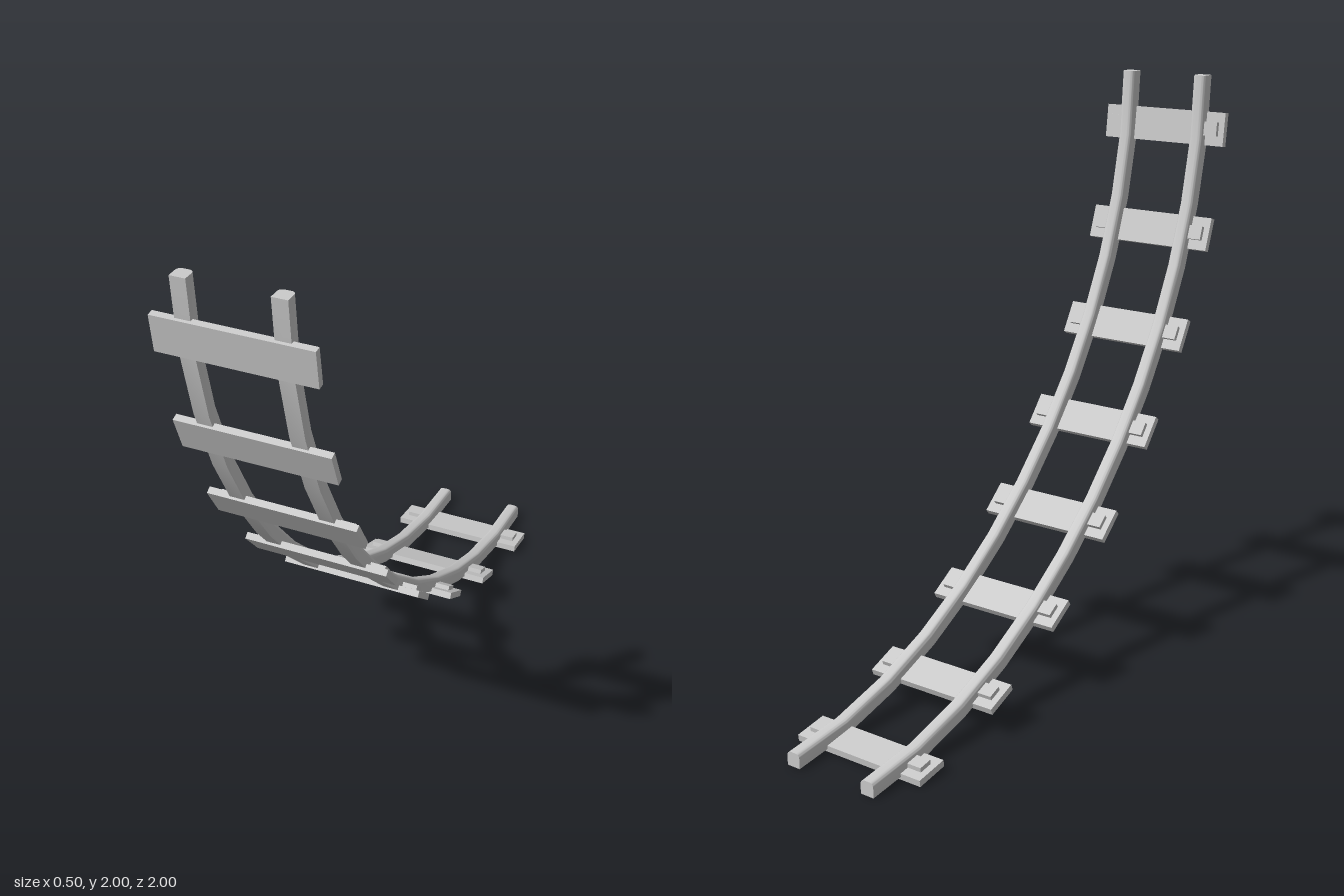
import * as THREE from 'three';
import { toCreasedNormals } from 'three/addons/utils/BufferGeometryUtils.js';

const material = new THREE.MeshStandardMaterial({ color: 0xcccccc });
const X = new THREE.Vector3(1, 0, 0);

// Centre line of the track: level at the back, curving up to vertical at the front
const path = new THREE.CubicBezierCurve3(
  new THREE.Vector3(0, 0.026, -1),
  new THREE.Vector3(0, 0.026, -0.02),
  new THREE.Vector3(0, 1.02, 0.975),
  new THREE.Vector3(0, 2, 0.975)
);

// Local frame at arc position u: x across, y towards the inside of the bend, z along
function frameAt(u) {
  const tangent = path.getTangentAt(u);
  const normal = new THREE.Vector3().crossVectors(tangent, X);
  return new THREE.Matrix4().makeBasis(X, normal, tangent).setPosition(path.getPointAt(u));
}

// Rail: flat-bottomed, round-topped section extruded and bent along the path
function railGeometry(x) {
  const h = 0.025, r = 0.015;
  const section = new THREE.Shape();
  section.moveTo(-h, -h);
  section.lineTo(h, -h);
  section.lineTo(h, h - r);
  section.absarc(h - r, h - r, r, 0, Math.PI / 2);
  section.absarc(r - h, h - r, r, Math.PI / 2, Math.PI);
  section.closePath();
  const geometry = new THREE.ExtrudeGeometry(section, {
    depth: 1, steps: 13, bevelEnabled: false, curveSegments: 3
  });
  const pos = geometry.attributes.position;
  const v = new THREE.Vector3();
  for (let i = 0; i < pos.count; i++) {
    v.fromBufferAttribute(pos, i);
    const frame = frameAt(THREE.MathUtils.clamp(v.z, 0, 1));
    v.set(v.x + x, v.y, 0).applyMatrix4(frame);
    pos.setXYZ(i, v.x, v.y, v.z);
  }
  return toCreasedNormals(geometry, THREE.MathUtils.degToRad(40));
}

function box(name, w, h, d, x, y) {
  const mesh = new THREE.Mesh(new THREE.BoxGeometry(w, h, d), material);
  mesh.name = name;
  mesh.position.set(x, y, 0);
  return mesh;
}

export function createModel() {
  const model = new THREE.Group();
  model.name = 'curvedTrack';

  for (const [name, side] of [['leftRail', 1], ['rightRail', -1]]) {
    const rail = new THREE.Mesh(railGeometry(side * 0.15), material);
    rail.name = name;
    model.add(rail);
  }

  // Evenly spaced cross ties with a fastening plate outside each rail
  const count = 8;
  for (let i = 0; i < count; i++) {
    const tie = new THREE.Group();
    tie.name = 'tie' + (i + 1);
    tie.add(box('plank', 0.5, 0.023, 0.122, 0, -0.019));
    for (const side of [1, -1]) {
      tie.add(box('plate', 0.06, 0.016, 0.05, side * 0.197, 0));
    }
    tie.applyMatrix4(frameAt((i + 0.5) / count));
    model.add(tie);
  }
  return model;
}
